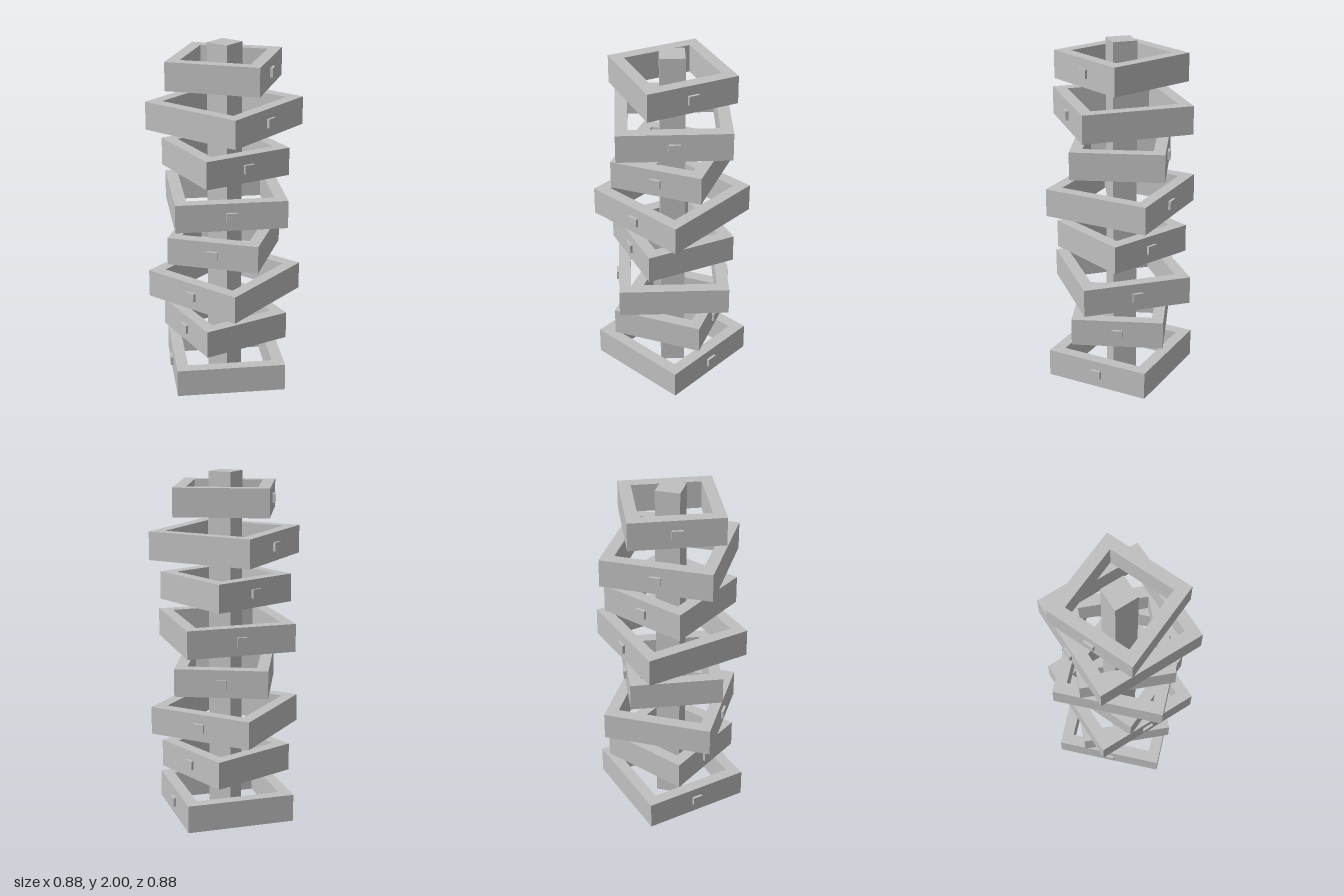
import * as THREE from 'three';

export function createModel() {
  const model = new THREE.Group();
  model.name = 'twistedTower';
  const grey = new THREE.MeshStandardMaterial({ color: 0xc0c0c0 });
  grey.name = 'plain grey';

  const HEIGHT = 0.158, WALL = 0.067;

  function addMesh(parent, name, geometry) {
    const mesh = new THREE.Mesh(geometry, grey);
    mesh.name = name;
    parent.add(mesh);
    return mesh;
  }

  // Closed square outline of the given half width
  function square(PathType, half) {
    return new PathType([[-1, -1], [1, -1], [1, 1], [-1, 1]]
      .map(([x, y]) => new THREE.Vector2(x * half, y * half)));
  }

  // Square frame lying flat, centred on its own height
  function frameGeometry(half) {
    const shape = square(THREE.Shape, half);
    shape.holes.push(square(THREE.Path, half - WALL));
    return new THREE.ExtrudeGeometry(shape, { depth: HEIGHT, bevelEnabled: false })
      .translate(0, 0, -HEIGHT / 2)
      .rotateX(-Math.PI / 2);
  }

  // Central post, set on the diagonal
  const post = addMesh(model, 'centralPost', new THREE.BoxGeometry(0.138, 2, 0.138));
  post.position.y = 1;
  post.rotation.y = Math.PI / 4;

  // Eight stacked frames, alternating in size, each turned a further 22.5 degrees
  for (let i = 0; i < 8; i++) {
    const half = i % 2 ? 0.261 : 0.31;
    const level = new THREE.Group();
    level.name = `level${i + 1}`;
    level.position.y = 0.102 + i * 0.25;
    level.rotation.y = i * Math.PI / 8;
    addMesh(level, 'squareFrame', frameGeometry(half));

    // Small tabs on two opposite sides
    for (const side of [-1, 1]) {
      const tab = addMesh(level, 'tab', new THREE.BoxGeometry(0.03, 0.05, 0.061));
      tab.position.x = side * half;
    }
    model.add(level);
  }
  return model;
}
